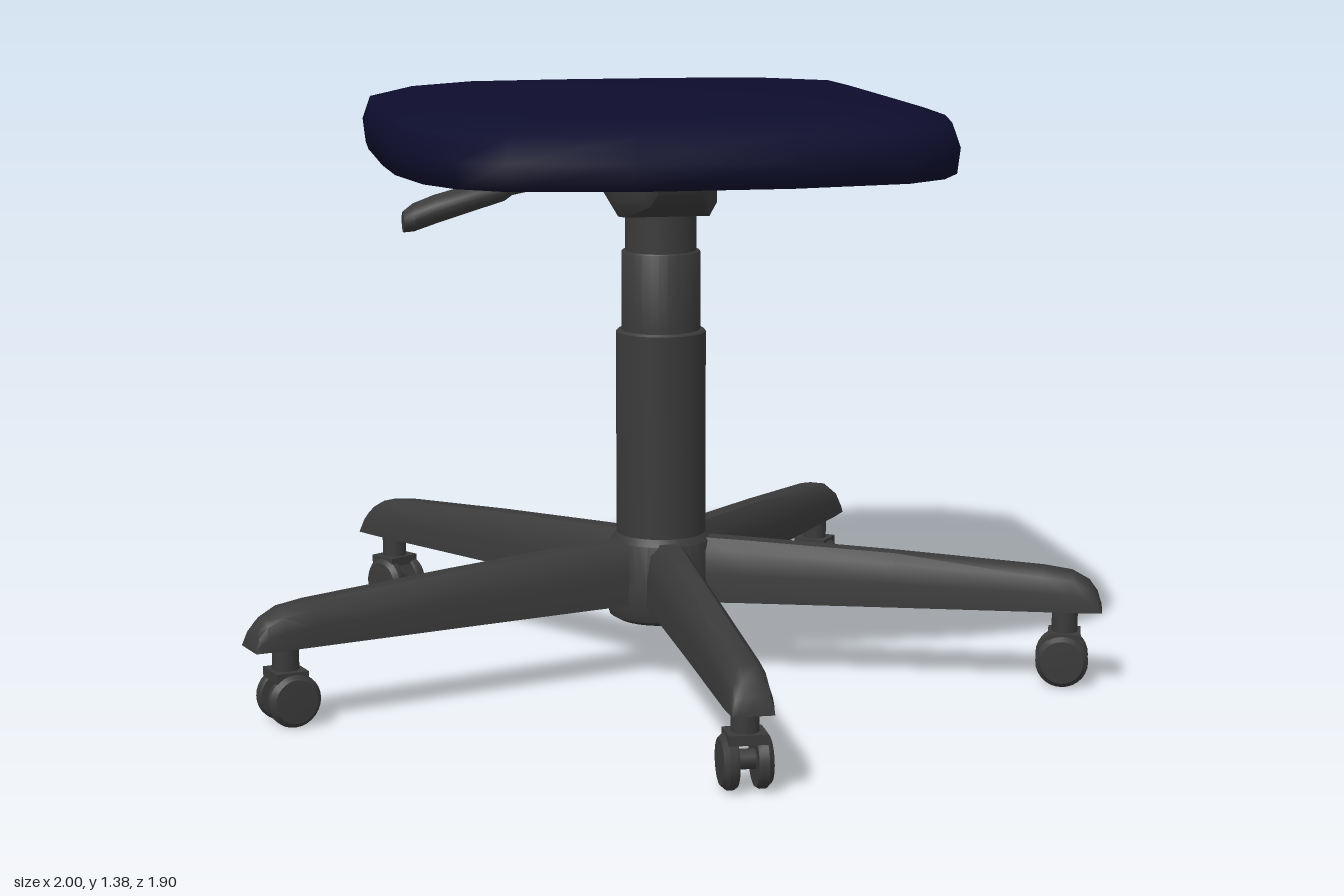
import * as THREE from 'three';
import { toCreasedNormals } from 'three/addons/utils/BufferGeometryUtils.js';

// Skin a list of equal-length rings of [x, y, z] points, with closed ends
function loft(rings, crease) {
  const n = rings[0].length, pos = rings.flat(2), idx = [];
  for (let i = 0; i < rings.length - 1; i++) {
    for (let j = 0; j < n; j++) {
      const k = (j + 1) % n, a = i * n + j, b = i * n + k;
      idx.push(a, a + n, b, b, a + n, b + n);
    }
  }
  const last = (rings.length - 1) * n;
  for (let j = 1; j < n - 1; j++) {
    idx.push(0, j, j + 1, last, last + j + 1, last + j);
  }
  const g = new THREE.BufferGeometry();
  g.setAttribute('position', new THREE.Float32BufferAttribute(pos, 3));
  g.setIndex(idx);
  g.computeVertexNormals();
  return crease ? toCreasedNormals(g, crease) : g;
}

function add(parent, name, geometry, material, x = 0, y = 0, z = 0) {
  const mesh = new THREE.Mesh(geometry, material);
  mesh.name = name;
  mesh.position.set(x, y, z);
  parent.add(mesh);
  return mesh;
}

const lathe = (pts) => toCreasedNormals(
  new THREE.LatheGeometry(pts.map(([r, y]) => new THREE.Vector2(r, y)), 28), 0.6);

// Cushion: one rounded outline scaled and stacked in layers
function seatGeometry() {
  const right = [[0.17, -0.875], [0.44, -0.848], [0.635, -0.69], [0.645, -0.5], [0.648, -0.1],
    [0.64, 0.12], [0.6, 0.32], [0.54, 0.43], [0.44, 0.505], [0.17, 0.555]];
  const outline = [...right, ...right.map(([x, z]) => [-x, z]).reverse()];
  const layers = [[0.05, 1.21], [0.75, 1.21], [0.99, 1.212], [1, 1.27], [0.972, 1.325],
    [0.82, 1.354], [0.45, 1.371], [0.05, 1.376]];
  return loft(layers.map(([s, y]) => outline.map(([x, z]) => [x * s, y, -0.16 + (z + 0.16) * s])));
}

// Base leg running along +z: flat underside, rounded top, drooping tip
function legGeometry() {
  const section = [[-1, 0], [-0.97, 0.45], [-0.8, 0.8], [-0.4, 0.98], [0.4, 0.98], [0.8, 0.8], [0.97, 0.45], [1, 0]];
  const stations = [[0.04, 0.155, 0.058], [0.2, 0.147, 0.053], [0.55, 0.126, 0.05], [0.9, 0.1, 0.049],
    [0.965, 0.09, 0.049], [1.005, 0.068, 0.047], [1.025, 0.04, 0.046], [1.035, 0.004, 0.045]];
  return loft(stations.map(([r, h, w]) => section.map(([x, y]) => [x * w, 0.18 + y * h, r])), 0.8);
}

// Tilt housing below the seat, tapering toward the front
function housingGeometry() {
  const stations = [[-0.235, 1.13, 0.1], [-0.2, 1.1, 0.115], [-0.1, 1.083, 0.115], [0, 1.092, 0.115],
    [0.13, 1.13, 0.075], [0.16, 1.16, 0.062], [0.18, 1.2, 0.052]];
  return loft(stations.map(([z, y, w]) => {
    const side = y + (1.215 - y) * 0.25;
    return [[-w, side, z], [-w, 1.215, z], [w, 1.215, z], [w, side, z], [w * 0.85, y, z], [-w * 0.85, y, z]];
  }), 0.6);
}

// Flattened oval grip at the end of the lever, running along +z
function gripGeometry() {
  const stations = [[0.34, 1.152, 0.02, 0.016], [0.36, 1.148, 0.036, 0.026], [0.43, 1.132, 0.048, 0.031],
    [0.52, 1.106, 0.05, 0.033], [0.57, 1.088, 0.045, 0.032], [0.594, 1.078, 0.032, 0.024]];
  return loft(stations.map(([z, y, w, h]) => Array.from({ length: 14 }, (_, i) => {
    const a = -i / 14 * Math.PI * 2;
    return [Math.cos(a) * w, y + Math.sin(a) * h, z];
  })), 0.8);
}

// Twin-wheel caster
function caster(mat) {
  const g = new THREE.Group();
  g.name = 'caster';
  add(g, 'casterStem', new THREE.CylinderGeometry(0.03, 0.03, 0.075, 14), mat, 0, 0.15, 0);
  add(g, 'casterHood', new THREE.BoxGeometry(0.085, 0.022, 0.075), mat, 0, 0.115, 0);
  const axle = add(g, 'casterAxle', new THREE.CylinderGeometry(0.022, 0.022, 0.07, 12), mat, 0, 0.065, 0);
  axle.rotation.z = Math.PI / 2;
  const tyre = lathe([[0, -0.017], [0.056, -0.017], [0.061, -0.009], [0.061, 0.004], [0.05, 0.016], [0, 0.018]]);
  for (const s of [-1, 1]) {
    const wheel = add(g, s > 0 ? 'leftWheel' : 'rightWheel', tyre, mat, s * 0.037, 0.061, -0.005);
    wheel.rotation.z = -s * Math.PI / 2;
  }
  return g;
}

export function createModel() {
  const fabric = new THREE.MeshStandardMaterial({ color: 0x0d0d2d });
  fabric.name = 'navyFabric';
  const plastic = new THREE.MeshStandardMaterial({ color: 0x3a3a3a });
  plastic.name = 'darkGreyPlastic';

  const model = new THREE.Group();
  model.name = 'swivelStool';
  add(model, 'seat', seatGeometry(), fabric);
  add(model, 'tiltHousing', housingGeometry(), plastic);

  // Height lever on the right side
  const lever = new THREE.Group();
  lever.name = 'heightLever';
  lever.position.z = -0.13;
  const rod = new THREE.CatmullRomCurve3([[-0.05, 1.17], [-0.18, 1.172], [-0.28, 1.163], [-0.37, 1.146]]
    .map(([x, y]) => new THREE.Vector3(x, y, 0)));
  add(lever, 'leverRod', new THREE.TubeGeometry(rod, 12, 0.017, 10), plastic);
  add(lever, 'leverGrip', gripGeometry(), plastic).rotation.y = -Math.PI / 2;
  model.add(lever);

  // Telescopic column and hub
  const base = new THREE.Group();
  base.name = 'base';
  base.position.z = -0.085;
  add(base, 'column', lathe([[0, 0.2], [0.105, 0.2], [0.105, 0.815], [0.1, 0.82], [0.092, 0.82],
    [0.092, 1.002], [0.09, 1.005], [0.083, 1.005], [0.083, 1.12], [0, 1.12]]), plastic);
  add(base, 'hub', lathe([[0, 0.132], [0.105, 0.132], [0.122, 0.142], [0.131, 0.17], [0.128, 0.22],
    [0.118, 0.322], [0.105, 0.338]]), plastic);

  // Five legs with casters
  const legShape = legGeometry();
  for (let i = 0; i < 5; i++) {
    const arm = new THREE.Group();
    arm.name = 'legWithCaster' + (i + 1);
    arm.rotation.y = i * Math.PI * 2 / 5;
    add(arm, 'leg', legShape, plastic);
    const c = caster(plastic);
    c.position.z = 0.95;
    arm.add(c);
    base.add(arm);
  }
  model.add(base);
  return model;
}
